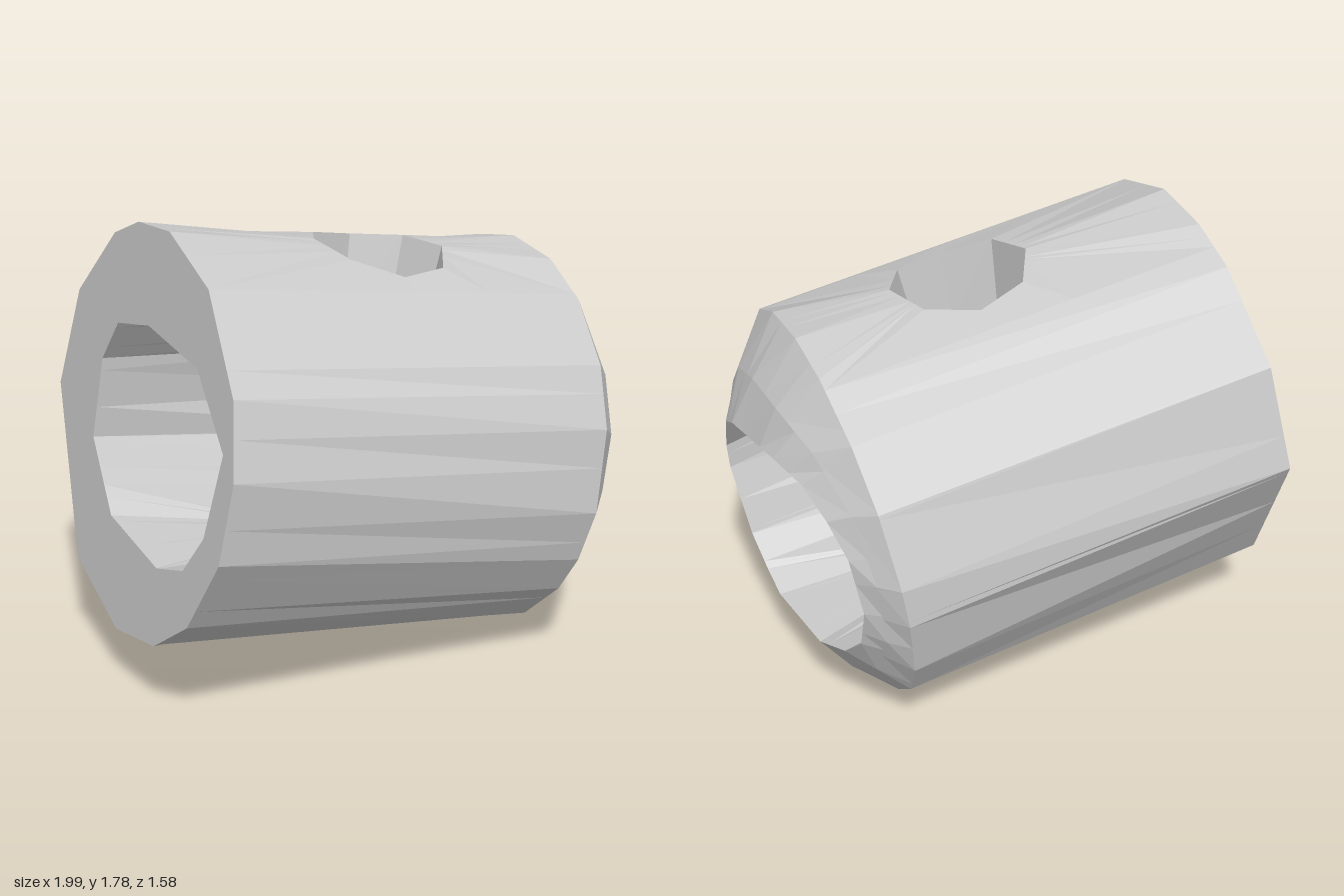
import * as THREE from 'three';

const TAU = Math.PI * 2, RAD = Math.PI / 180;
const LENGTH = 1.566, RADIUS = 0.785;
const norm = (a) => ((a % TAU) + TAU) % TAU;
const V = (x, y, z) => new THREE.Vector3(x, y, z);

// Flat views of a loop: along the tube (x), down on the top, up at the bottom
const along = { p: (v) => v.y, q: (v) => v.z };
const holeView = (h) => h.side > 0
  ? { p: (v) => v.z - h.z, q: (v) => v.x - h.x }
  : { p: (v) => v.x - h.x, q: (v) => v.z - h.z };

const angleOf = (view, v) => norm(Math.atan2(view.q(v), view.p(v)));

// Point where a ray from the centre meets a closed loop
function sample(loop, view, angle) {
  const pts = [...loop].sort((a, b) => angleOf(view, a) - angleOf(view, b));
  const a = norm(angle);
  let i = pts.findIndex((v) => angleOf(view, v) > a + 1e-7);
  if (i < 0) i = 0;
  const A = pts[(i + pts.length - 1) % pts.length], B = pts[i];
  const cross = (v) => view.p(v) * Math.sin(a) - view.q(v) * Math.cos(a);
  const ca = cross(A), cb = cross(B);
  return A.clone().lerp(B, Math.abs(ca - cb) < 1e-9 ? 0 : ca / (ca - cb));
}

// Surface between two loops, keeping the corners of both; cuts leave windows
// that are refilled as patches around a cross hole
function skin(out, A, B, view, cuts = []) {
  const raw = [...A, ...B].map((v) => angleOf(view, v));
  for (const c of cuts) raw.push(norm(c.mid - c.half), norm(c.mid + c.half));
  raw.sort((a, b) => a - b);
  const angles = raw.filter((a, i) => i === 0 || a - raw[i - 1] > 1e-4);
  const rows = angles.map((a) => [sample(A, view, a), sample(B, view, a)]);
  const windows = cuts.map(() => new Set());
  angles.forEach((a, i) => {
    const j = (i + 1) % angles.length;
    const middle = (a + angles[j] + (j === 0 ? TAU : 0)) / 2;
    const [a0, b0] = rows[i], [a1, b1] = rows[j];
    const k = cuts.findIndex((c) => Math.abs(norm(middle - c.mid + Math.PI) - Math.PI) < c.half);
    if (k >= 0) [a0, b0, a1, b1].forEach((v) => windows[k].add(v));
    else out.push(a0, a1, b1, a0, b1, b0);
  });
  cuts.forEach((c, k) => {
    const border = [...windows[k]];
    const pair = c.inner ? [c.loop, border] : [border, c.loop];
    skin(out, pair[0], pair[1], holeView(c.hole));
  });
}

function makeMesh(name, build) {
  const tris = [], keep = [];
  build(tris);
  for (let i = 0; i < tris.length; i += 3) {
    const t = new THREE.Triangle(tris[i], tris[i + 1], tris[i + 2]);
    if (t.getArea() > 1e-8) keep.push(t.a, t.b, t.c);
  }
  const geometry = new THREE.BufferGeometry().setFromPoints(keep);
  geometry.computeVertexNormals();
  const mesh = new THREE.Mesh(geometry, new THREE.MeshStandardMaterial({ color: 0xcccccc, flatShading: true }));
  mesh.name = name;
  return mesh;
}

// Height of the rounded end at a distance from the axis
function dome(r) {
  const profile = [[0.3, 0.3], [0.42, 0.272], [0.62, 0.15], [RADIUS, 0]];
  for (let i = 1; i < profile.length; i++) {
    const [r0, h0] = profile[i - 1], [r1, h1] = profile[i];
    if (r <= r1) return THREE.MathUtils.mapLinear(r, r0, r1, h0, h1);
  }
  return 0;
}
const onDome = (y, z) => V(LENGTH + dome(Math.hypot(y, z)), y, z);
const ringAt = (x, degrees) => degrees.map((d) => V(x, RADIUS * Math.cos(d * RAD), RADIUS * Math.sin(d * RAD)));

export function createModel() {
  // Outer rings, unevenly cut like a coarse carving
  const flatRing = ringAt(0, [5, 33, 64, 85, 108, 134, 156, 181, 214, 268, 299, 329, 345]);
  const domeRing = ringAt(LENGTH, [-3, 17, 35, 56, 74, 98, 114, 127, 146, 167, 184, 210, 229, 246, 266, 278, 300, 319, 340]);

  // Mouths of the slanting bore as [y, z]
  const boreFlat = [[0.37, 0.41], [0.41, -0.02], [0.35, -0.29], [0.18, -0.4], [-0.14, -0.41],
    [-0.38, -0.17], [-0.43, 0.27], [-0.36, 0.48], [-0.19, 0.61], [0.14, 0.68]]
    .map(([y, z]) => V(0, y, z));
  const boreDome = [[0.02, 0.41], [-0.26, 0.32], [-0.37, 0.21], [-0.417, 0.09], [-0.4, -0.28],
    [-0.33, -0.46], [-0.21, -0.59], [-0.03, -0.65], [0.2, -0.615], [0.33, -0.525],
    [0.42, -0.39], [0.45, -0.22], [0.4, 0.15], [0.325, 0.28], [0.125, 0.41]]
    .map(([y, z]) => onDome(y, z));

  // Middle ring of the rounded end
  const domeMiddle = Array.from({ length: 16 }, (_, i) => {
    const a = (i + 0.4) / 16 * TAU;
    const rim = sample(boreDome, along, a);
    const r = (RADIUS + Math.hypot(rim.y, rim.z)) / 2;
    return onDome(r * Math.cos(a), r * Math.sin(a));
  });

  // Eight-sided holes through the top and bottom of the wall
  const holes = [{ side: 1, x: 0.88, z: 0.06 }, { side: -1, x: 0.873, z: -0.03 }];
  const octagon = (h, r, height) => Array.from({ length: 8 }, (_, i) => {
    const a = (i * 45 + 6) * RAD;
    const z = h.z + r * Math.sin(a);
    return V(h.x + r * Math.cos(a), h.side * height(z), z);
  });
  for (const h of holes) {
    h.outer = octagon(h, 0.27, (z) => Math.sqrt(0.765 ** 2 - z * z));
    h.inner = octagon(h, 0.23, () => 0.4);
  }
  const cutsFor = (inner, half) => holes.map((h) => ({
    hole: h, inner, half: half * RAD, loop: inner ? h.inner : h.outer,
    mid: norm(Math.atan2(h.z, h.side * (inner ? 0.42 : 0.77))),
  }));

  const bead = new THREE.Group();
  bead.name = 'bead';
  bead.add(
    makeMesh('outerWall', (t) => skin(t, flatRing, domeRing, along, cutsFor(false, 28))),
    makeMesh('roundedEnd', (t) => {
      skin(t, domeRing, domeMiddle, along);
      skin(t, domeMiddle, boreDome, along);
    }),
    makeMesh('bore', (t) => skin(t, boreDome, boreFlat, along, cutsFor(true, 38))),
    makeMesh('flatEnd', (t) => skin(t, boreFlat, flatRing, along)),
    ...holes.map((h) => makeMesh(h.side > 0 ? 'topHole' : 'bottomHole',
      (t) => skin(t, h.outer, h.inner, holeView(h)))),
  );

  // Tilt the tube so that the rounded end dips
  bead.position.set(-0.883, 1.01, 0.005);
  bead.rotation.set(0, 0.012, -0.1506);

  const model = new THREE.Group();
  model.add(bead);
  return model;
}
